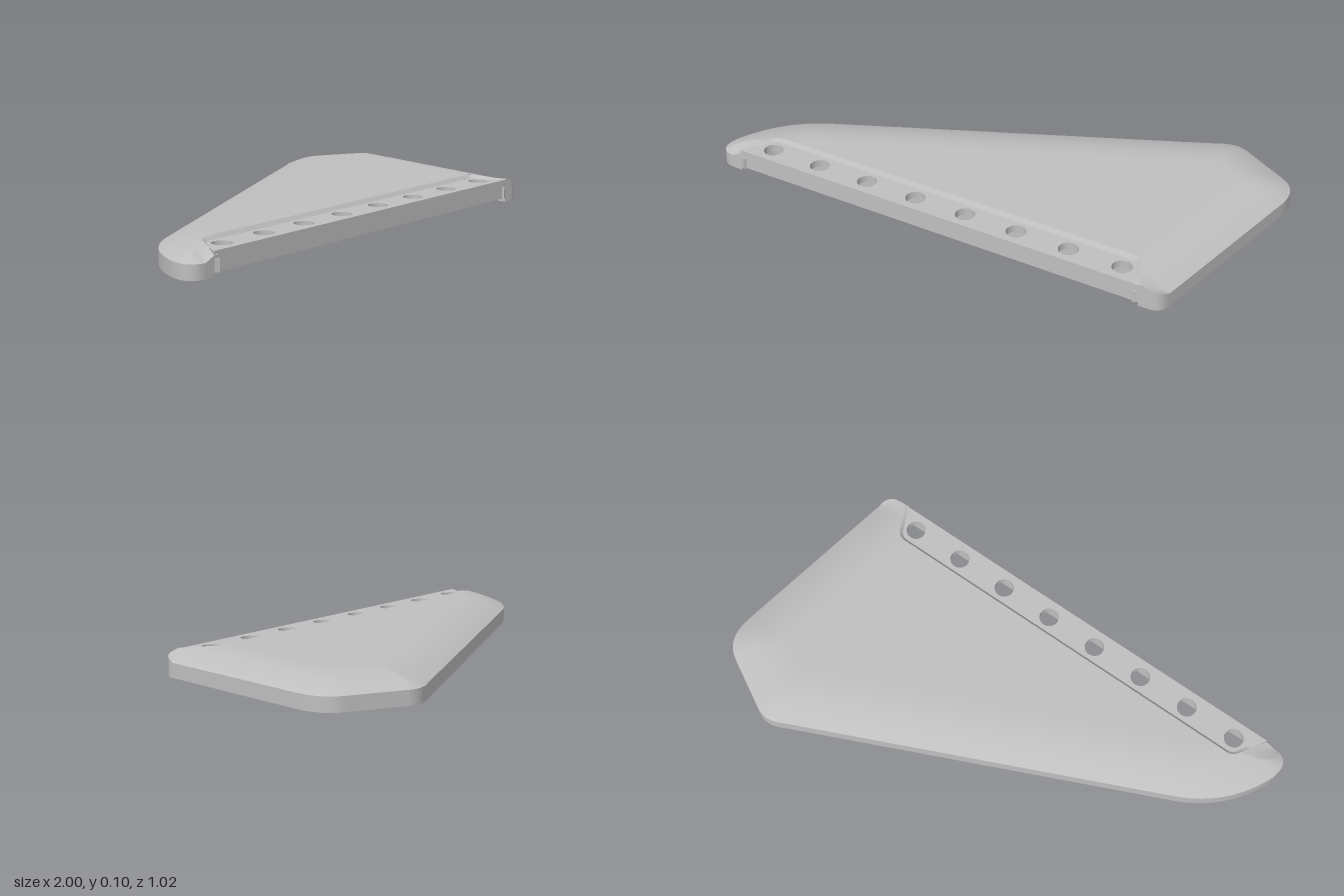
import * as THREE from 'three';
import { mergeGeometries } from 'three/addons/utils/BufferGeometryUtils.js';

const V = (x, z) => new THREE.Vector2(x, z); // plan coordinates: x and z
const FLOOR = 0.06, STRIP = 0.088, LIFT = 0.015, RIM = 0.035;

// Outline from the front right, round the back, to the front left.
// Each entry: curve, samples, and the matching end position along the recess edge.
const line = (a, b) => new THREE.LineCurve(a, b);
const quad = (a, b, c) => new THREE.QuadraticBezierCurve(a, b, c);
const outline = [
  [line(V(0.78, 0.5), V(0.82, 0.5)), 3, 0.01],
  [quad(V(0.82, 0.5), V(0.865, 0.5), V(0.875, 0.45)), 8, 0.02],
  [line(V(0.875, 0.45), V(0.995, -0.23)), 24, 0.08],
  [quad(V(0.995, -0.23), V(1.015, -0.345), V(0.935, -0.39)), 12, 0.1],
  [line(V(0.935, -0.39), V(0.745, -0.495)), 8, 0.12],
  [quad(V(0.745, -0.495), V(0.69, -0.53), V(0.62, -0.488)), 12, 0.15],
  [line(V(0.62, -0.488), V(-0.73, 0.125)), 50, 0.88],
  [quad(V(-0.73, 0.125), V(-0.9, 0.2), V(-0.98, 0.37)), 16, 0.94],
  [new THREE.CubicBezierCurve(V(-0.98, 0.37), V(-1.02, 0.45), V(-1, 0.5), V(-0.94, 0.5)), 12, 0.99],
  [line(V(-0.94, 0.5), V(-0.9, 0.5)), 3, 1],
];

// Edge of the recessed fixing strip
const recessEdge = new THREE.CurvePath();
[
  line(V(0.78, 0.5), V(0.735, 0.4)),
  quad(V(0.735, 0.4), V(0.72, 0.37), V(0.69, 0.37)),
  line(V(0.69, 0.37), V(-0.8, 0.37)),
  quad(V(-0.8, 0.37), V(-0.83, 0.37), V(-0.845, 0.4)),
  line(V(-0.845, 0.4), V(-0.9, 0.5)),
].forEach((c) => recessEdge.add(c));

function samplePaths() {
  const outer = [V(0.78, 0.5)], inner = [V(0.78, 0.5)], slopes = [];
  let u = 0;
  outline.forEach(([curve, n, end], k) => {
    for (let i = 1; i <= n; i++) {
      outer.push(curve.getPoint(i / n));
      inner.push(recessEdge.getPointAt(u + ((end - u) * i) / n));
    }
    if (k > 1 && k < 9) slopes.push(...curve.getSpacedPoints(n));
    if (k > 1 && k < 9) slopes.push(null);
    u = end;
  });
  return { outer, inner, slopes };
}

// Distance from a point to the bevelled edges
function edgeDistance(p, pts) {
  let best = Infinity;
  for (let i = 0; i + 1 < pts.length; i++) {
    const a = pts[i], b = pts[i + 1];
    if (!a || !b) continue;
    const d = b.clone().sub(a);
    const t = THREE.MathUtils.clamp(p.clone().sub(a).dot(d) / d.lengthSq(), 0, 1);
    best = Math.min(best, p.distanceTo(a.clone().addScaledVector(d, t)));
  }
  return best;
}

// Shift a path sideways, towards its left-hand interior
function offset(pts, amount) {
  return pts.map((p, i) => {
    const t = pts[Math.min(i + 1, pts.length - 1)].clone().sub(pts[Math.max(i - 1, 0)]).normalize();
    return V(p.x + t.y * amount, p.y - t.x * amount);
  });
}

// Surface through rows of [x, y, z] points
function loft(rows) {
  const n = rows[0].length, index = [];
  for (let r = 0; r + 1 < rows.length; r++) {
    for (let c = 0; c + 1 < n; c++) {
      const a = r * n + c, b = a + n;
      index.push(a, a + 1, b, a + 1, b + 1, b);
    }
  }
  const g = new THREE.BufferGeometry();
  g.setAttribute('position', new THREE.Float32BufferAttribute(rows.flat(2), 3));
  g.setIndex(index);
  g.computeVertexNormals();
  return g;
}

// Flat plan shape extruded downward from a given height
function slab(shape, top, depth) {
  return new THREE.ExtrudeGeometry(shape, { depth, bevelEnabled: false, curveSegments: 20 })
    .rotateX(Math.PI / 2).translate(0, top, 0);
}

function inside(p, poly) {
  let hit = false;
  for (let i = 0, j = poly.length - 1; i < poly.length; j = i++) {
    const a = poly[i], b = poly[j];
    if ((a.y > p.y) !== (b.y > p.y) && p.x < ((b.x - a.x) * (p.y - a.y)) / (b.y - a.y) + a.x) hit = !hit;
  }
  return hit;
}

export function createModel() {
  const group = new THREE.Group();
  const grey = new THREE.MeshStandardMaterial({ color: 0xbfbfbf, side: THREE.DoubleSide });
  grey.name = 'light grey';
  const add = (name, geometry) => {
    const mesh = new THREE.Mesh(geometry, grey);
    mesh.name = name;
    group.add(mesh);
  };

  const { outer, inner, slopes } = samplePaths();
  const height = (p) => {
    const t = Math.min(edgeDistance(p, slopes) / 0.2, 1);
    const dome = 0.055 + 0.048 * (1 - (1 - t) ** 2);
    return Math.min(dome, 0.09 + 0.1 * (0.5 - p.y));
  };
  const at = (p, y) => [p.x, y, p.y];

  // Domed top skin, finer near the outer edge
  const rows = [];
  for (let r = 0; r <= 20; r++) {
    const s = (r / 20) ** 1.5;
    rows.push(outer.map((p, i) => {
      const q = p.clone().lerp(inner[i], s);
      return at(q, height(q));
    }));
  }
  add('topSkin', loft(rows));
  add('upperEdge', loft([outer.map((p) => at(p, 0.05)), outer.map((p) => at(p, height(p)))]));

  // Sloping step down into the recess
  const step = recessEdge.getSpacedPoints(120);
  add('recessStep', loft([
    step.map((p) => at(p, height(p))),
    offset(step, 0.012).map((p) => at(p, Math.min(STRIP, height(p)))),
  ]));

  // Rim below the bevel, open along the front
  const rimInner = offset(outer, RIM);
  add('rim', slab(new THREE.Shape([...outer, ...rimInner.slice().reverse()]), 0.052, 0.052));
  add('rimLining', loft([rimInner.map((p) => at(p, FLOOR)), rimInner.map((p) => at(p, 0.04))]));

  // Fixing strip with a row of through holes
  const stripShape = new THREE.Shape(step);
  const holeX = Array.from({ length: 8 }, (_, i) => -0.793 + 0.211 * i);
  holeX.forEach((x) => {
    const hole = new THREE.Path();
    hole.absarc(x, 0.436, 0.037, 0, Math.PI * 2, true);
    stripShape.holes.push(hole);
  });
  add('fixingStrip', slab(stripShape, STRIP, STRIP - FLOOR));

  // Walls and dividers under the strip
  const wallH = FLOOR - LIFT, wallY = (FLOOR + LIFT) / 2;
  add('frontWall', new THREE.BoxGeometry(1.68, wallH, 0.025).translate(-0.06, wallY, 0.4875));
  add('backWall', slab(new THREE.Shape([...step, ...offset(step, 0.02).reverse()]), FLOOR, wallH));
  add('dividers', mergeGeometries(holeX.slice(1).map((x) =>
    new THREE.BoxGeometry(0.018, wallH, 0.11).translate(x - 0.1055, wallY, 0.43))));

  // Underside floor between the rim and the strip
  const floorPath = [...rimInner, ...step.slice().reverse()];
  add('undersideFloor', new THREE.ShapeGeometry(new THREE.Shape(floorPath))
    .rotateX(Math.PI / 2).translate(0, FLOOR, 0));

  // Lattice of stiffening ribs: small hexagons, spokes and cell borders
  const ribs = [];
  const rib = (a, b) => {
    for (let k = 0; k < 3; k++) {
      const p = a.clone().lerp(b, k / 3), q = a.clone().lerp(b, (k + 1) / 3);
      if (!inside(p, floorPath) || !inside(q, floorPath)) continue;
      const d = q.clone().sub(p);
      ribs.push(new THREE.BoxGeometry(d.length() + 0.004, 0.016, 0.009)
        .rotateY(-Math.atan2(d.y, d.x))
        .translate((p.x + q.x) / 2, FLOOR - 0.008, (p.y + q.y) / 2));
    }
  };
  const pitch = 0.13;
  for (let j = -5; j <= 5; j++) {
    for (let i = -8; i <= 8; i++) {
      const c = V((i + (j & 1) / 2) * pitch, j * pitch * 0.866);
      const polar = (r, k) => V(c.x + r * Math.cos(k * Math.PI / 3), c.y + r * Math.sin(k * Math.PI / 3));
      for (let k = 0; k < 6; k++) {
        rib(polar(0.036, k), polar(0.036, k + 1));
        rib(polar(0.036, k), polar(pitch / 2, k));
        if (k < 3) rib(polar(pitch / 1.732, k - 0.5), polar(pitch / 1.732, k + 0.5));
      }
    }
  }
  add('stiffeningRibs', mergeGeometries(ribs));

  return group;
}
